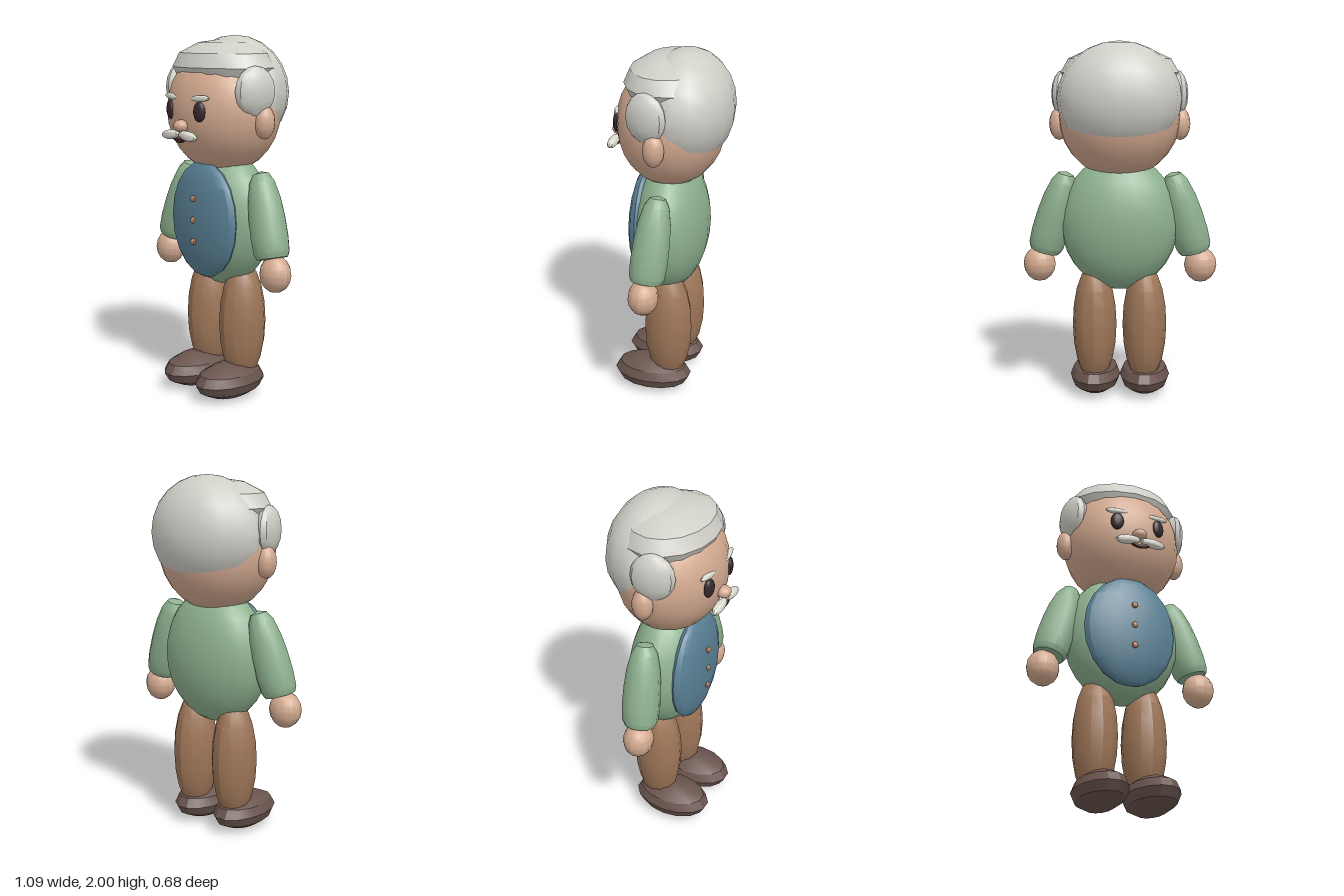
import * as THREE from 'three';
import { toCreasedNormals } from 'three/addons/utils/BufferGeometryUtils.js';

const colours = {
  skin: 0xd3aa90, hair: 0xcfcec7, whisker: 0xdcdbd0, shirt: 0x8db08f, vest: 0x5a8196,
  trousers: 0x9e7658, shoe: 0x6a544e, eye: 0x35282a, mouth: 0x4a2a2a, button: 0xc08d68,
};

export function createModel() {
  const root = new THREE.Group();
  const mats = {};
  for (const [name, color] of Object.entries(colours)) {
    mats[name] = new THREE.MeshStandardMaterial({ color });
    mats[name].name = name;
  }

  const add = (name, geometry, mat, pos = [0, 0, 0]) => {
    const mesh = new THREE.Mesh(toCreasedNormals(geometry, 0.55), mats[mat]);
    mesh.name = name;
    mesh.position.set(...pos);
    root.add(mesh);
    return mesh;
  };

  // Ellipsoid with given radii and segment counts
  const blob = (name, mat, pos, radii, w = 16, h = 10) =>
    add(name, new THREE.SphereGeometry(1, w, h).scale(...radii), mat, pos);

  // Head and hair
  blob('head', 'skin', [0, 1.6, 0], [0.34, 0.35, 0.295], 20, 14);
  blob('backHair', 'hair', [0, 1.69, -0.08], [0.34, 0.31, 0.26], 16, 12);
  blob('topHair', 'hair', [0, 1.83, 0], [0.325, 0.15, 0.248], 16, 6);

  // Face centre
  blob('nose', 'skin', [0, 1.525, 0.298], [0.042, 0.034, 0.042], 12, 8);
  const smile = new THREE.TorusGeometry(0.085, 0.012, 6, 12, 1.9);
  smile.rotateZ(-Math.PI / 2 - 0.95);
  add('mouth', smile, 'mouth', [0, 1.532, 0.307]);

  // Torso, vest and buttons
  blob('torso', 'shirt', [0, 1, 0], [0.33, 0.38, 0.207], 20, 14);
  blob('vest', 'vest', [0, 1, 0.14], [0.265, 0.325, 0.08], 16, 10);
  for (const y of [1.125, 1.005, 0.885]) {
    blob('button', 'button', [0, y, 0.22], [0.018, 0.018, 0.014], 10, 6);
  }

  // Sleeve profile: radius, distance down from the shoulder
  const sleeve = [[0, 0], [0.045, 0.015], [0.07, 0.06], [0.09, 0.15], [0.1, 0.25],
    [0.103, 0.36], [0.098, 0.44], [0.085, 0.47], [0, 0.48]]
    .map(([r, d]) => new THREE.Vector2(r, -d)).reverse();
  const shoulder = new THREE.Vector3(0.292, 1.285, -0.01);
  const wrist = new THREE.Vector3(0.43, 0.815, 0.022);

  for (const [side, s] of [['left', 1], ['right', -1]]) {
    // Side hair and ears
    blob(side + 'SideHair', 'hair', [s * 0.312, 1.712, 0.05], [0.06, 0.133, 0.118], 12, 8)
      .rotation.y = -s * 0.25;
    blob(side + 'Ear', 'skin', [s * 0.335, 1.55, 0.003], [0.055, 0.09, 0.058], 12, 8);

    // Eyes, eyebrows and moustache halves
    const eye = blob(side + 'Eye', 'eye', [s * 0.123, 1.605, 0.272], [0.037, 0.053, 0.02], 14, 10);
    eye.rotation.y = s * 0.3;
    const brow = blob(side + 'Eyebrow', 'whisker', [s * 0.123, 1.675, 0.265], [0.066, 0.017, 0.016], 12, 8);
    brow.rotation.set(0, s * 0.15, s * 0.06);
    const tache = blob(side + 'Moustache', 'whisker', [s * 0.073, 1.476, 0.31], [0.075, 0.026, 0.027], 12, 8);
    tache.rotation.z = -s * 0.1;

    // Arm and hand
    const arm = add(side + 'Arm', new THREE.LatheGeometry(sleeve, 12), 'shirt',
      [s * shoulder.x, shoulder.y, shoulder.z]);
    const up = shoulder.clone().sub(wrist).normalize();
    up.x *= s;
    arm.quaternion.setFromUnitVectors(new THREE.Vector3(0, 1, 0), up);
    blob(side + 'Hand', 'skin', [s * 0.455, 0.757, 0.028], [0.091, 0.1, 0.083], 12, 8);

    // Leg and shoe
    blob(side + 'Leg', 'trousers', [s * 0.141, 0.42, -0.018], [0.124, 0.35, 0.137], 12, 10);
    blob(side + 'Shoe', 'shoe', [s * 0.142, 0.1, 0.075], [0.143, 0.1, 0.225], 14, 6);
  }
  return root;
}
